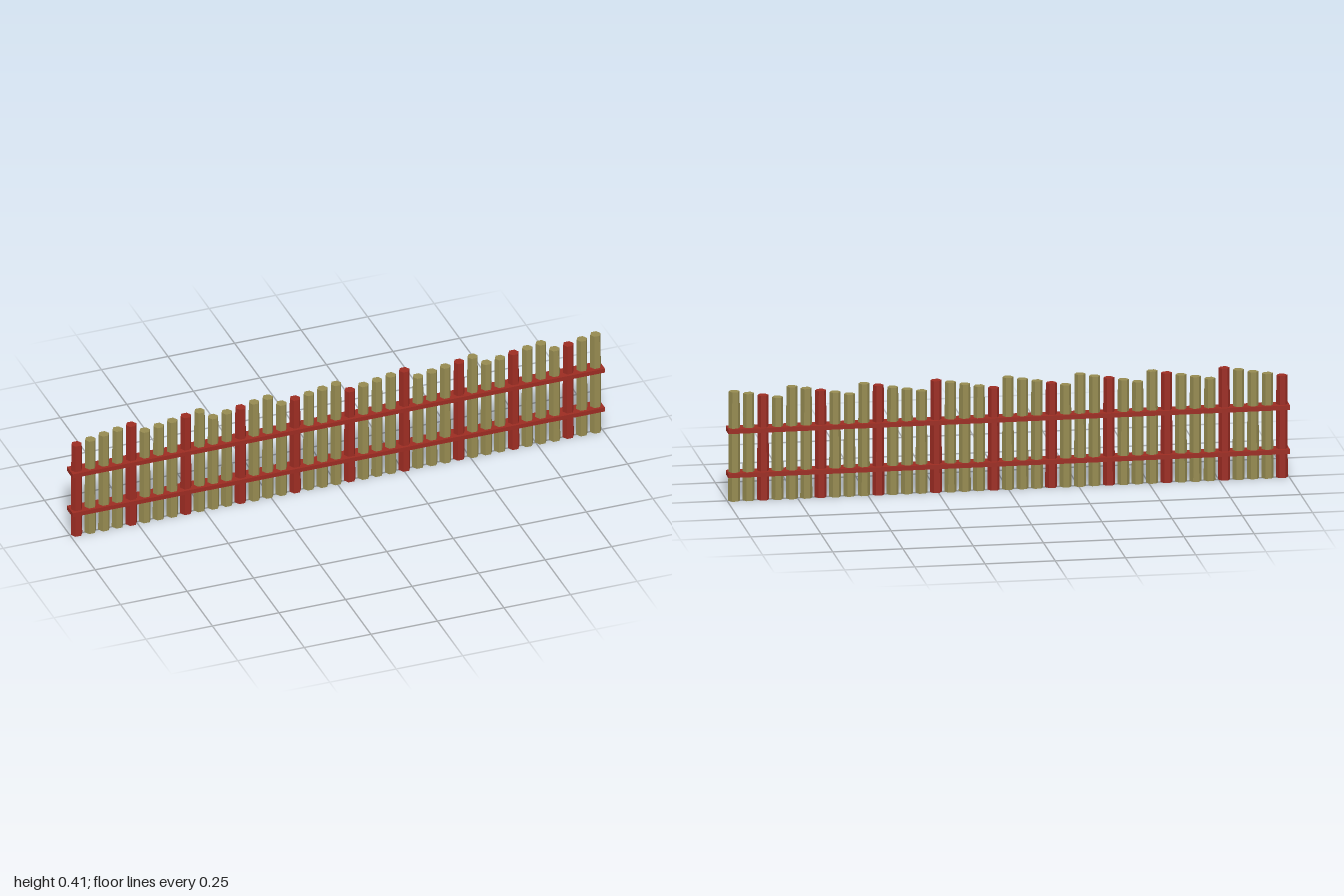
import * as THREE from 'three';

export function createModel() {
  const fence = new THREE.Group();
  fence.name = 'fence';

  const olive = new THREE.MeshStandardMaterial({ color: 0x958a50 });
  olive.name = 'olive wood';
  olive.flatShading = true;
  const red = new THREE.MeshStandardMaterial({ color: 0x9c2c22 });
  red.name = 'red wood';
  red.flatShading = true;

  // Tapered six-sided stakes: heights step through five sizes, every fourth is red
  const count = 39;
  const spacing = 0.0513;
  for (let i = 0; i < count; i++) {
    const height = 0.37 + (i % 5) * 0.009;
    const geometry = new THREE.CylinderGeometry(0.0195, 0.0215, height, 6);
    geometry.rotateY(Math.PI / 2);
    const isRed = i % 4 === 0;
    const stake = new THREE.Mesh(geometry, isRed ? red : olive);
    stake.name = isRed ? 'redStake' : 'oliveStake';
    stake.position.set((i - (count - 1) / 2) * spacing, height / 2, 0);
    // slight hand-set sway
    stake.rotation.x = Math.sin(i * 2.3) * 0.005;
    fence.add(stake);
  }

  // Two full-length rails the stakes pass through
  for (const [name, y] of [['lowerRail', 0.097], ['upperRail', 0.257]]) {
    const rail = new THREE.Mesh(new THREE.BoxGeometry(2, 0.016, 0.056), red);
    rail.name = name;
    rail.position.y = y;
    fence.add(rail);
  }
  return fence;
}
